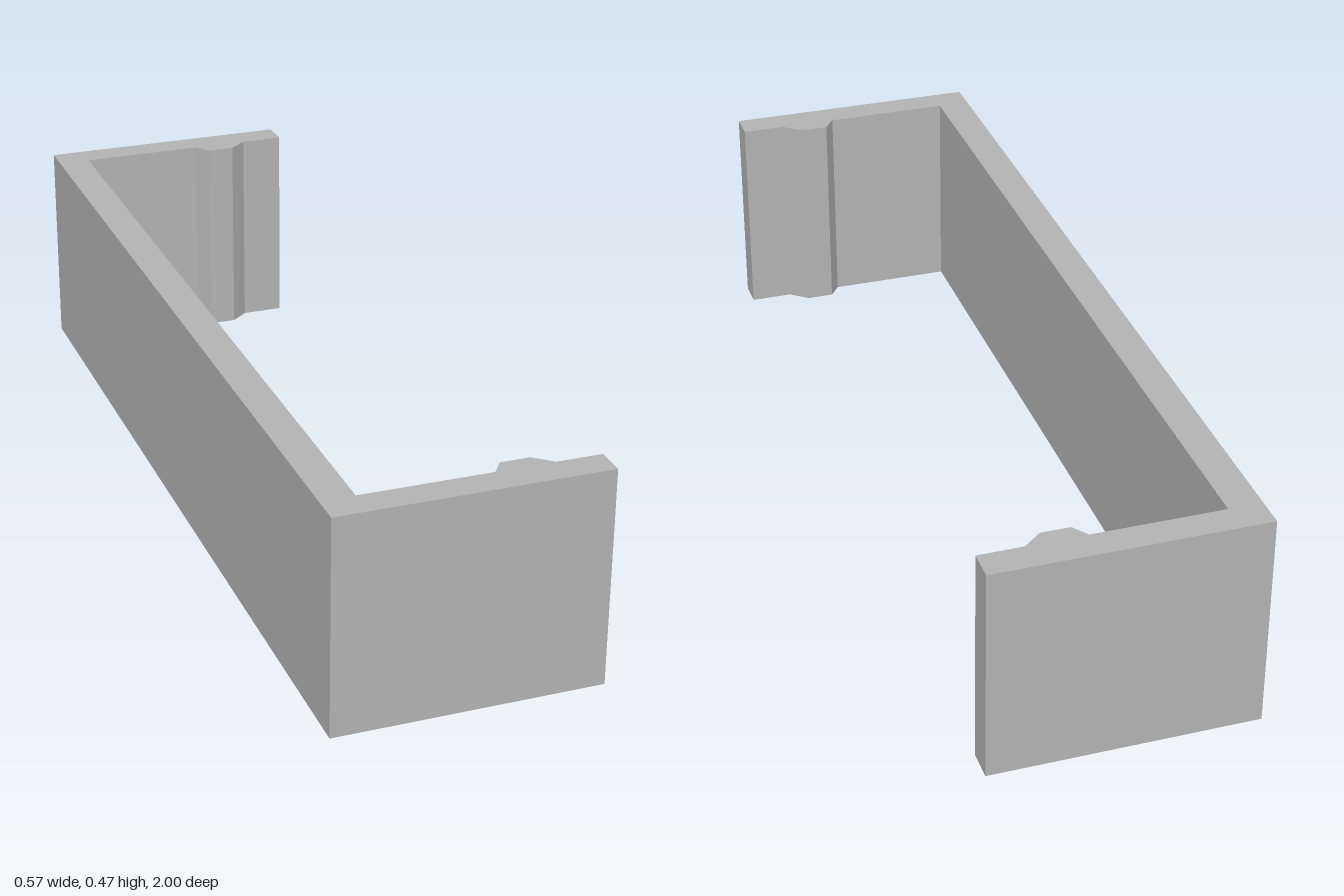
import * as THREE from 'three';

export function createModel() {
  const group = new THREE.Group();
  group.name = 'channelBracket';
  const grey = new THREE.MeshStandardMaterial({ color: 0xb4b4b4 });
  grey.name = 'plain grey';

  const height = 0.473;
  const back = -0.286, wall = -0.214, tip = 0.286;

  // Half of the plan outline, from the outer back corner round to the inner corner,
  // including the small trapezoid rib inside the arm
  const half = [
    [back, 1], [tip, 1], [tip, 0.935],
    [0.19, 0.935], [0.15, 0.902], [0.088, 0.902], [0.064, 0.935],
    [wall, 0.935],
  ];
  // Mirror the half to close the C-shaped section
  const mirrored = half.map(([x, z]) => [x, -z]).reverse();
  const outline = [...half, ...mirrored].map(([x, z]) => new THREE.Vector2(x, z));

  // Raise the section to full height
  const geometry = new THREE.ExtrudeGeometry(new THREE.Shape(outline), {
    depth: height, bevelEnabled: false,
  });
  geometry.rotateX(-Math.PI / 2);

  const body = new THREE.Mesh(geometry, grey);
  body.name = 'channelBody';
  group.add(body);
  return group;
}
